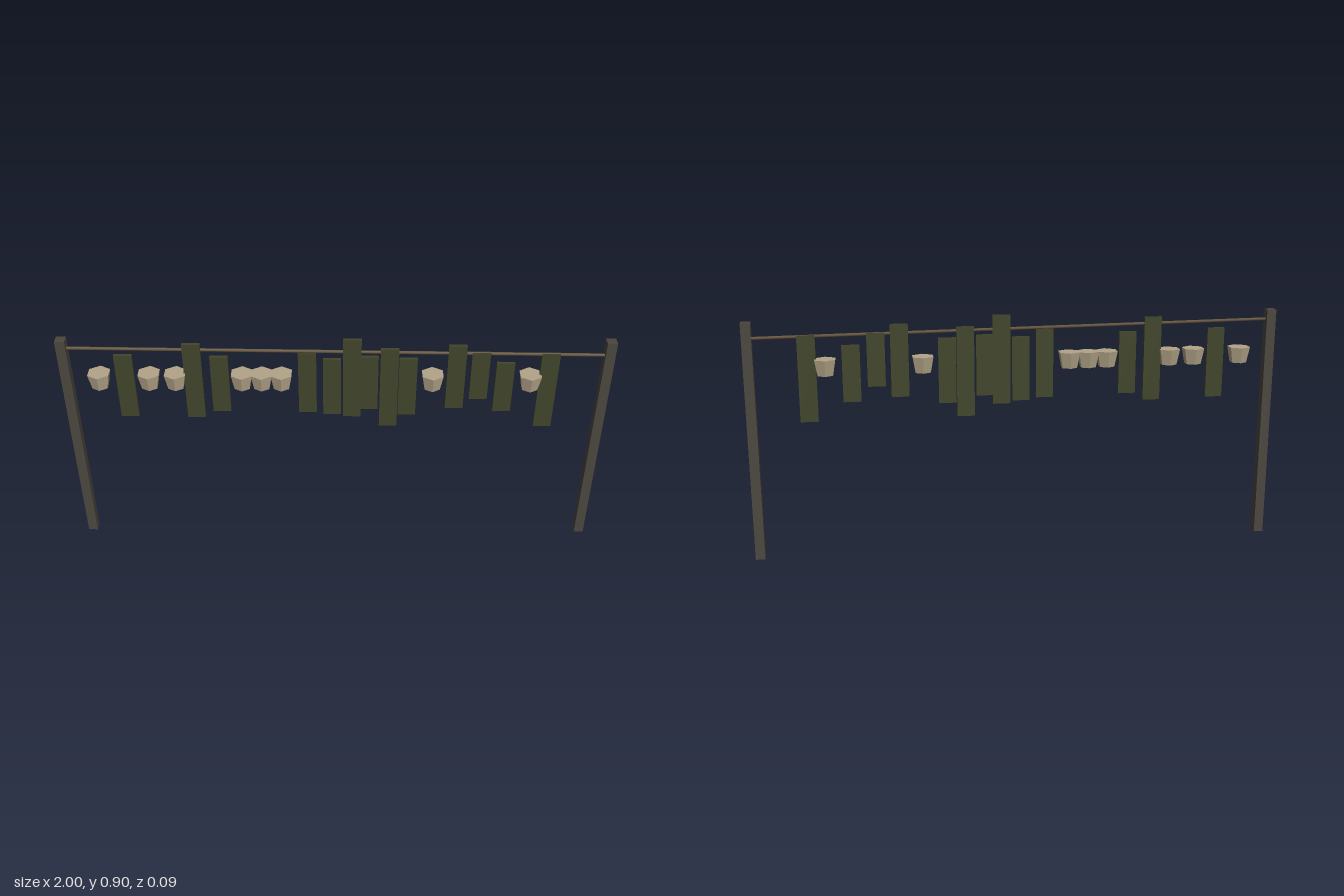
import * as THREE from 'three';

const postMat = new THREE.MeshStandardMaterial({ name: 'dark weathered wood', color: 0x4b463f });
const ropeMat = new THREE.MeshStandardMaterial({ name: 'brown rope', color: 0x66563f });
const stripMat = new THREE.MeshStandardMaterial({ name: 'dark green', color: 0x40452a });
const cupMat = new THREE.MeshStandardMaterial({ name: 'pale tan', color: 0xb3a488, flatShading: true });

// Hanging strips: x, bottom, top
const STRIPS = [
  [-0.768, 0.565, 0.834], [-0.519, 0.562, 0.882], [-0.422, 0.591, 0.829],
  [-0.103, 0.587, 0.848], [-0.013, 0.578, 0.821], [0.06, 0.568, 0.904],
  [0.122, 0.602, 0.832], [0.195, 0.525, 0.864], [0.263, 0.578, 0.824],
  [0.438, 0.608, 0.88], [0.524, 0.65, 0.85], [0.615, 0.595, 0.807],
  [0.774, 0.525, 0.848],
];
const CUPS = [-0.863, -0.681, -0.585, -0.342, -0.27, -0.198, 0.353, 0.709];

export function createModel() {
  const model = new THREE.Group();
  model.name = 'hangingLine';

  const add = (name, geometry, material, x, y) => {
    const mesh = new THREE.Mesh(geometry, material);
    mesh.name = name;
    mesh.position.set(x, y, 0);
    model.add(mesh);
    return mesh;
  };

  // Square end posts
  for (const side of [-1, 1]) {
    add(side > 0 ? 'leftPost' : 'rightPost', new THREE.BoxGeometry(0.036, 0.9, 0.036), postMat, side * 0.982, 0.45);
  }

  // Slightly sloping rope between the posts
  const start = new THREE.Vector3(-0.982, 0.863, 0);
  const end = new THREE.Vector3(0.982, 0.841, 0);
  const rope = add('rope', new THREE.CylinderGeometry(0.006, 0.006, start.distanceTo(end), 6), ropeMat, 0, 0.852);
  rope.quaternion.setFromUnitVectors(new THREE.Vector3(0, 1, 0), end.clone().sub(start).normalize());

  // Flat strips of varied length
  STRIPS.forEach(([x, bottom, top], i) => {
    add(`strip${i + 1}`, new THREE.BoxGeometry(0.066, top - bottom, 0.012), stripMat, x, (top + bottom) / 2);
  });

  // Six-sided tapered cups
  const cup = new THREE.CylinderGeometry(0.044, 0.032, 0.06, 6);
  CUPS.forEach((x, i) => add(`cup${i + 1}`, cup, cupMat, x, 0.728));

  return model;
}
